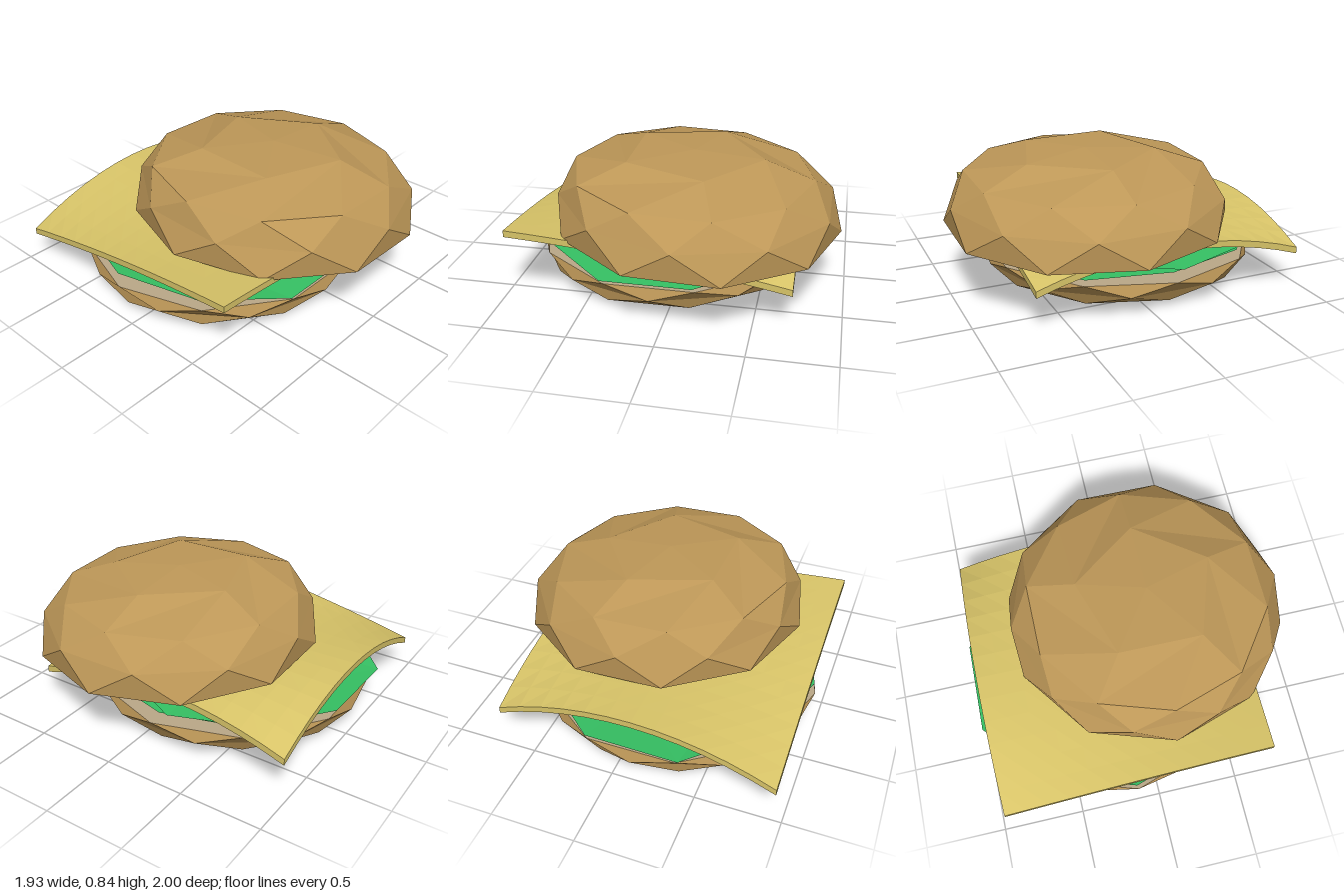
import * as THREE from 'three';

const mat = (name, color, extra = {}) => {
  const m = new THREE.MeshStandardMaterial({ color, flatShading: true, ...extra });
  m.name = name;
  return m;
};

// Ring of n points; phase shifts it by a fraction of a step; r and y may be lists.
function ring(n, r, y, cx, cz, { phase = 0, tiltX = 0, tiltZ = 0 } = {}) {
  const points = [];
  for (let i = 0; i < n; i++) {
    const a = ((i + phase) / n) * Math.PI * 2;
    const rr = Array.isArray(r) ? r[i] : r;
    const x = cx + Math.cos(a) * rr, z = cz + Math.sin(a) * rr;
    points.push([x, (Array.isArray(y) ? y[i] : y) + tiltX * x + tiltZ * z, z]);
  }
  points.phase = phase;
  return points;
}

// Triangulated skin through rings listed from the bottom up.
function loft(rings) {
  const pos = [];
  const tri = (...p) => p.forEach(v => pos.push(...v));
  for (let k = 0; k + 1 < rings.length; k++) {
    const A = rings[k], B = rings[k + 1];
    let i = 0, j = 0;
    const endA = A.length === 1 ? 0 : A.length, endB = B.length === 1 ? 0 : B.length;
    const at = (R, n) => R[n % R.length];
    while (i < endA || j < endB) {
      const nextA = i < endA ? (i + 1 + A.phase) / A.length : Infinity;
      const nextB = j < endB ? (j + 1 + B.phase) / B.length : Infinity;
      if (nextA <= nextB) { tri(at(A, i), at(B, j), at(A, i + 1)); i++; }
      else { tri(at(A, i), at(B, j), at(B, j + 1)); j++; }
    }
  }
  const g = new THREE.BufferGeometry();
  g.setAttribute('position', new THREE.Float32BufferAttribute(pos, 3));
  g.computeVertexNormals();
  return g;
}

// Square slice draped over the filling, with hanging corners.
function sliceGeometry() {
  const g = new THREE.BoxGeometry(2, 0.04, 2, 12, 1, 12);
  const p = g.attributes.position;
  const mix = THREE.MathUtils.lerp;
  for (let i = 0; i < p.count; i++) {
    const u = p.getX(i), v = p.getZ(i), s = (u + 1) / 2, t = (v + 1) / 2;
    const bu = 1 - u * u, bv = 1 - v * v;
    const corners = mix(mix(0.21, 0.25, s), mix(0.47, 0.26, s), t);
    const y = corners + bu * mix(0.19, 0.03, t) + bv * mix(0.03, 0.14, s) - 0.09 * bu * bv;
    p.setXYZ(i, -0.115 + u * 0.835, y - 0.02 + p.getY(i), -0.135 + v * 0.835);
  }
  g.computeVertexNormals();
  return g;
}

export function createModel() {
  const model = new THREE.Group();
  model.name = 'burger';
  const crust = mat('crust brown', 0xbe9858);
  const crumb = mat('crumb cream', 0xbba888);
  const cheese = mat('cheese yellow', 0xd8c468);
  const green = mat('lettuce green', 0x36c264, { side: THREE.DoubleSide });
  const add = (name, geometry, material) => {
    const m = new THREE.Mesh(geometry, material);
    m.name = name;
    model.add(m);
  };

  // Bottom bun: shallow faceted bowl with a flat cut face
  const bx = -0.1, bz = -0.13;
  const cut = ring(10, 0.87, 0.185, bx, bz);
  add('bottomBun', loft([
    ring(1, 0, 0, bx, bz),
    ring(5, 0.42, 0.008, bx, bz),
    ring(10, 0.79, 0.035, bx - 0.02, bz),
    ring(10, 0.85, 0.11, bx, bz, { phase: 0.5 }),
    cut,
  ]), crust);
  add('bottomBunCutFace', loft([cut, ring(1, 0, 0.185, bx, bz)]), crumb);

  // Lettuce: two crumpled leaves
  add('lowerLettuce', loft([
    ring(1, 0, 0.195, -0.12, -0.14),
    ring(5, 0.45, 0.2, -0.12, -0.14),
    ring(10, [0.82, 0.84, 0.88, 0.88, 0.84, 0.84, 0.84, 0.91, 0.9, 0.85],
      [0.22, 0.2, 0.2, 0.2, 0.24, 0.27, 0.27, 0.25, 0.25, 0.23], -0.12, -0.14),
  ]), green);
  add('upperLettuce', loft([
    ring(1, 0, 0.21, 0, -0.2),
    ring(5, 0.35, 0.225, 0, -0.2),
    ring(10, [0.71, 0.66, 0.68, 0.68, 0.65, 0.68, 0.7, 0.72, 0.72, 0.72],
      [0.23, 0.25, 0.31, 0.32, 0.31, 0.31, 0.3, 0.34, 0.35, 0.25], 0, -0.2),
  ]), green);

  // Cheese
  add('cheeseSlice', sliceGeometry(), cheese);

  // Top bun: faceted dome, slightly tilted
  const tx = 0.09, tz = 0.15, tilt = { tiltX: -0.035, tiltZ: -0.02 };
  const base = ring(10, 0.87, 0.42, tx, tz, tilt);
  add('topBun', loft([
    base,
    ring(10, 0.84, 0.585, tx, tz, { ...tilt, phase: 0.5 }),
    ring(10, 0.73, 0.725, tx - 0.03, tz, tilt),
    ring(5, 0.43, 0.825, tx - 0.03, tz, tilt),
    ring(1, 0, 0.845, tx - 0.02, tz, tilt),
  ]), crust);
  add('topBunCutFace', loft([ring(1, 0, 0.42, tx, tz, tilt), base]), crumb);

  return model;
}
